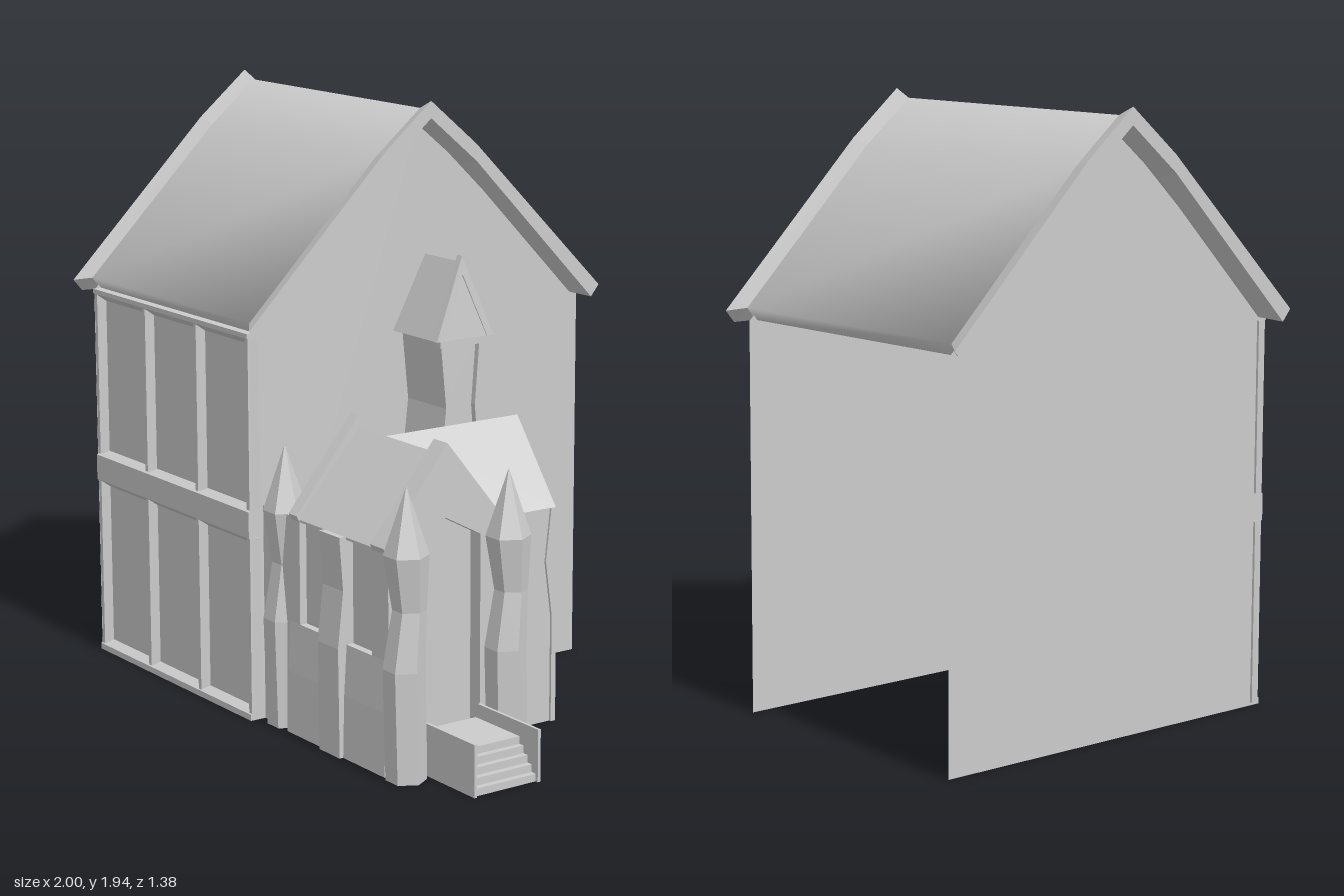
import * as THREE from 'three';
import { toCreasedNormals } from 'three/addons/utils/BufferGeometryUtils.js';

const mat = new THREE.MeshStandardMaterial({ color: 0xcccccc, side: THREE.DoubleSide });
const flat = new THREE.MeshStandardMaterial({ color: 0xcccccc, side: THREE.DoubleSide, flatShading: true });

export function createModel() {
  const model = new THREE.Group();

  const add = (name, geo, material = flat) => {
    const m = new THREE.Mesh(geo, material);
    m.name = name;
    model.add(m);
    return m;
  };
  const box = (name, x0, x1, y0, y1, z0, z1) =>
    add(name, new THREE.BoxGeometry(x1 - x0, y1 - y0, z1 - z0)
      .translate((x0 + x1) / 2, (y0 + y1) / 2, (z0 + z1) / 2));
  const shapeOf = pts => new THREE.Shape(pts.map(p => new THREE.Vector2(...p)));

  // Prism along x from a [z, y] outline
  const prismX = (pts, x0, x1) =>
    new THREE.ExtrudeGeometry(shapeOf(pts), { depth: x1 - x0, bevelEnabled: false })
      .rotateY(-Math.PI / 2).translate(x1, 0, 0);
  // Flat thin polygon from 3D corners
  const sheet = (name, ...pts) => {
    const out = [];
    for (let i = 1; i < pts.length - 1; i++) out.push(...pts[0], ...pts[i], ...pts[i + 1]);
    const g = new THREE.BufferGeometry();
    g.setAttribute('position', new THREE.Float32BufferAttribute(out, 3));
    g.computeVertexNormals();
    return add(name, g);
  };
  // Move every vertex by a rule
  const warp = (geo, rule) => {
    const p = geo.attributes.position, v = new THREE.Vector3();
    for (let i = 0; i < p.count; i++) {
      rule(v.fromBufferAttribute(p, i));
      p.setXYZ(i, v.x, v.y, v.z);
    }
    geo.computeVertexNormals();
    return geo;
  };

  // House: two gable walls, open at the back
  for (const [name, x] of [['leftGableWall', 0.02], ['rightGableWall', -0.93]])
    sheet(name, [x, 1.87, 0], [x, 1.25, 0.65], [x, 0, 0.65], [x, 0, -0.65], [x, 1.25, -0.65]);

  // Timber front wall: recessed panel, chamfered beams and posts
  sheet('frontPanel', [-0.93, 0, 0.62], [0.02, 0, 0.62], [0.02, 1.25, 0.62], [-0.93, 1.25, 0.62]);
  const beam = (name, y0, y1, drop, rise) =>
    add(name, prismX([[0.615, y0 - drop], [0.655, y0], [0.655, y1], [0.615, y1 + rise]], -0.93, 0.02));
  beam('sillBeam', 0, 0.02, 0, 0.015);
  beam('middleBeam', 0.6, 0.685, 0.03, 0.015);
  beam('topBeam', 1.24, 1.255, 0.03, 0);
  for (const [y0, y1] of [[0.01, 0.6], [0.69, 1.24]])
    for (const x of [-0.92, -0.61, -0.295, 0.01]) {
      const post = new THREE.ExtrudeGeometry(
        shapeOf([[-0.018, -0.615], [-0.008, -0.65], [0.008, -0.65], [0.018, -0.615]]),
        { depth: y1 - y0, bevelEnabled: false });
      add('frontPost', post.rotateX(-Math.PI / 2).scale(1, 1, -1).scale(1, 1, -1).translate(x, y0, 0));
    }

  // Main roof: bent profile, smooth over the ridge, flared at both ends
  const half = [[0.65, 1.29], [0.17, 1.77]], inner = [[0.17, 1.715], [0.62, 1.25]];
  const mirror = pts => pts.map(([z, y]) => [-z, y]).reverse();
  const roofProfile = [...half, [0, 1.91], ...mirror(half), ...mirror(inner), [0, 1.855], ...inner];
  add('mainRoof', toCreasedNormals(prismX(roofProfile, -0.94, 0.03), 1.5), mat);
  for (const [x0, x1, end] of [[-1, -0.94, -1], [0.03, 0.09, 0.09]])
    add('roofRim', warp(prismX(roofProfile, x0, x1), v => {
      if (Math.abs(v.x - end) > 0.001) return;
      v.y += 0.04 * (1 - Math.abs(v.z) / 0.65) - 0.012;
      v.z *= 1.06;
    }));

  // Crooked hexagonal pillars with pointed caps
  const pillar = (x, z) => {
    const pts = [[0.063, 0], [0.065, 0.35], [0.052, 0.53], [0.07, 0.7], [0, 0.91]].map(p => new THREE.Vector2(...p));
    const geo = new THREE.LatheGeometry(pts, 6, Math.PI / 2);
    warp(geo, v => {
      if (v.y > 0.3 && v.y < 0.4) v.z += 0.008;
      if (v.y > 0.5 && v.y < 0.6) v.z -= 0.012;
    });
    add('pillar', geo.translate(x, 0, z));
  };
  pillar(0.75, 0.57);
  pillar(0.75, 0.19);
  pillar(0.1, 0.57);

  // Porch front wall with two windows and a middle pilaster
  const wall = shapeOf([[0.02, 0], [0.7, 0], [0.7, 0.7], [0.02, 0.7]]);
  for (const [a, b] of [[0.225, 0.37], [0.48, 0.615]])
    wall.holes.push(new THREE.Path([[a, 0.36], [a, 0.69], [b, 0.69], [b, 0.36]].map(p => new THREE.Vector2(...p))));
  add('porchFrontWall', new THREE.ExtrudeGeometry(wall, { depth: 0.03, bevelEnabled: false }).translate(0, 0, 0.57));
  sheet('windowPanes', [0.2, 0.34, 0.575], [0.64, 0.34, 0.575], [0.64, 0.7, 0.575], [0.2, 0.7, 0.575]);
  add('porchBase', prismX([[0.59, 0], [0.615, 0], [0.61, 0.2], [0.6, 0.36], [0.59, 0.36]], 0.17, 0.7));
  add('pilaster', prismX([[0.59, 0], [0.628, 0], [0.632, 0.35], [0.612, 0.53], [0.625, 0.7], [0.59, 0.7]], 0.37, 0.48));

  // Porch end wall with a pointed door recess
  add('porchDoorWall', prismX([[0.6, 0], [0.6, 0.7], [0.375, 0.96], [0.15, 0.7], [0.15, 0],
    [0.25, 0], [0.25, 0.7], [0.38, 0.77], [0.51, 0.7], [0.51, 0]], 0.63, 0.69));
  sheet('door', [0.64, 0, 0.52], [0.64, 0, 0.24], [0.64, 0.78, 0.24], [0.64, 0.78, 0.52]);
  sheet('porchBackWall', [0.57, 0, 0.15], [0.69, 0, 0.15], [0.69, 0.7, 0.15], [0.57, 0.7, 0.15]);

  // Porch roof, side wing roof and the slope up to the turret
  sheet('porchRoofFront', [0.18, 0.96, 0.375], [0.69, 0.96, 0.375], [0.69, 0.7, 0.605], [0.18, 0.7, 0.605]);
  sheet('porchRoofBack', [0.37, 0.96, 0.375], [0.69, 0.96, 0.375], [0.69, 0.7, 0.15], [0.57, 0.7, 0.15]);
  sheet('wingRoof', [0.37, 0.96, 0.375], [0.57, 0.7, 0.15], [0.57, 0.7, -0.135], [0.37, 0.96, -0.135]);
  sheet('turretSlope', [0.18, 0.96, 0.375], [0.37, 0.96, 0.375], [0.32, 0.7, 0.14], [0.12, 0.7, 0.14]);

  // Raised gable copings
  const coping = (x0, x1) => add('gableCoping', prismX([[0.61, 0.71], [0.375, 1.0], [0.14, 0.71],
    [0.15, 0.69], [0.375, 0.95], [0.6, 0.69]], x0, x1));
  coping(0.62, 0.69);
  coping(0.18, 0.225);

  // Wing side wall and its crooked corner post
  const edge = [[-0.135, 0], [-0.135, 0.35], [-0.11, 0.53], [-0.13, 0.7]];
  add('wingWall', prismX([...edge, [0.15, 0.7], [0.15, 0]], 0.56, 0.57));
  add('wingPost', prismX([...edge, ...edge.map(([z, y]) => [z + 0.018, y]).reverse()], 0.555, 0.578));

  // Turret: crooked body, framed windows and tapered gable roof
  const lean = [[0.13, 1.22], [0.108, 1.0], [0.125, 0.85], [0.13, 0.7]];
  const leanBack = [[-0.035, 0.7], [-0.035, 0.85], [-0.022, 1.0], [-0.04, 1.22]];
  add('turretBody', prismX([...lean, ...leanBack], 0.115, 0.3));
  const strip = (side, d) => [...side, ...side.map(([z, y]) => [z + d, y]).reverse()];
  add('turretFrame', prismX(strip(lean, -0.018), 0.295, 0.32));
  add('turretFrame', prismX(strip(leanBack, 0.018), 0.295, 0.32));
  box('turretLintel', 0.295, 0.32, 1.195, 1.22, -0.04, 0.13);
  box('turretSill', 0.295, 0.32, 0.7, 0.73, -0.035, 0.13);
  add('turretRoof', warp(prismX([[0.152, 1.22], [0.045, 1.46], [-0.062, 1.22]], 0.095, 0.332), v => {
    if (v.y > 1.4) v.x += v.x < 0.2 ? 0.025 : -0.02;
  }));
  add('turretCoping', warp(prismX([[0.155, 1.22], [0.045, 1.48], [-0.065, 1.22],
    [-0.04, 1.22], [0.045, 1.42], [0.13, 1.22]], 0.31, 0.335), v => {
    v.x -= 0.02 * (v.y - 1.22) / 0.26;
  }));

  // Entrance steps between two low side walls
  for (let i = 0; i < 5; i++) box('step', 0.69, 0.99 - i * 0.02, i * 0.024, (i + 1) * 0.024, 0.265, 0.495);
  box('stepSideWall', 0.7, 1, 0, 0.165, 0.492, 0.502);
  box('stepSideWall', 0.7, 1, 0, 0.165, 0.255, 0.265);

  return model;
}
